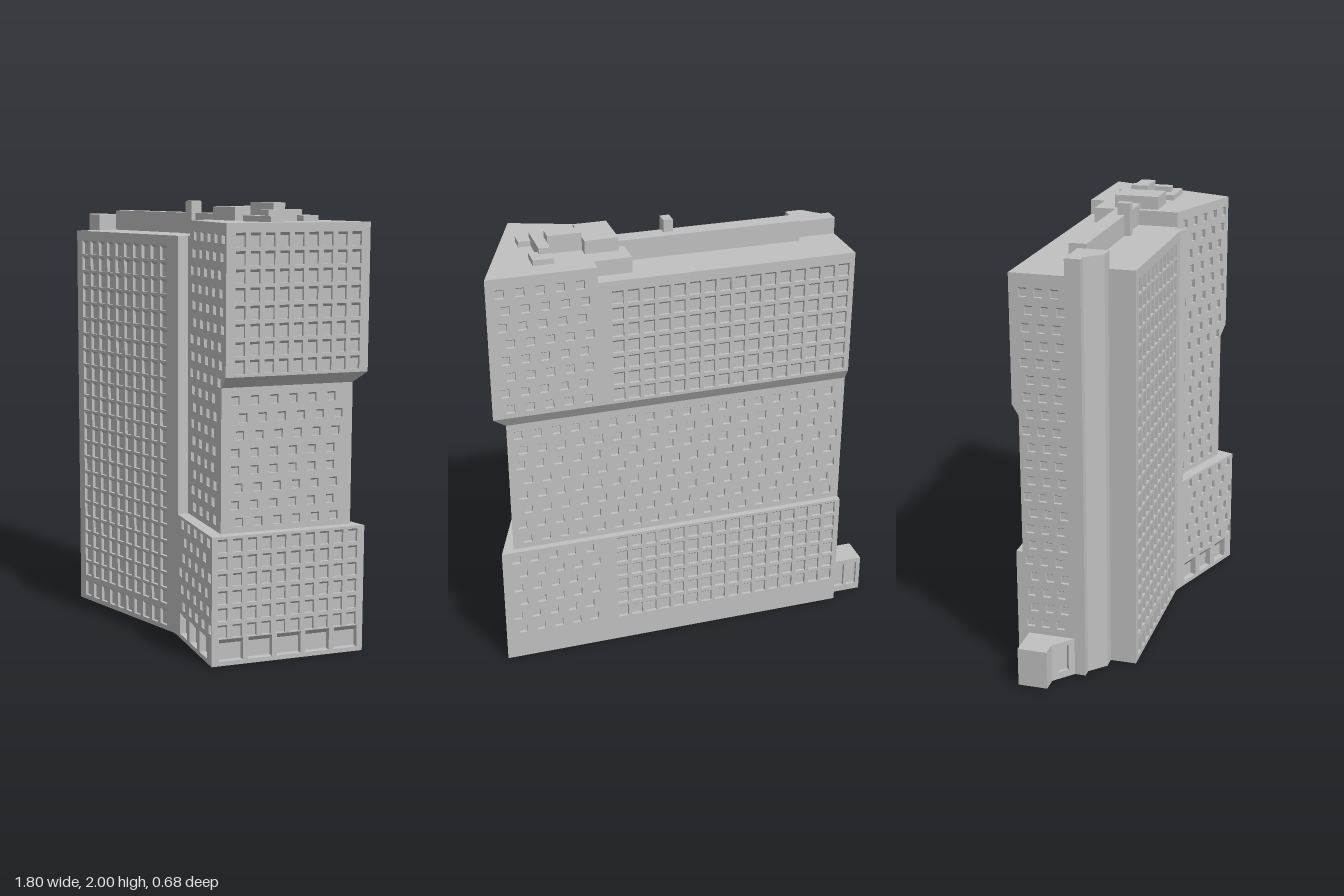
import * as THREE from 'three';
import { mergeGeometries } from 'three/addons/utils/BufferGeometryUtils.js';

const concrete = new THREE.MeshStandardMaterial({ color: 0xc0c0c0, side: THREE.DoubleSide });
concrete.name = 'concrete grey';
const PITCH = 0.0767; // storey height

export function createModel() {
  const model = new THREE.Group();

  function add(name, geometry) {
    const mesh = new THREE.Mesh(geometry, concrete);
    mesh.name = name;
    model.add(mesh);
  }

  function quads(list) {
    const pos = [];
    for (const [a, b, c, d] of list) pos.push(...a, ...b, ...c, ...a, ...c, ...d);
    const g = new THREE.BufferGeometry();
    g.setAttribute('position', new THREE.Float32BufferAttribute(pos, 3));
    return g;
  }

  // Facade from plan point p0 to p1 (left to right from outside) with recessed
  // openings whose heads slope inwards. Openings are {u, v, w, h, s, d}.
  function wall(name, p0, p1, outline, openings = []) {
    const len = Math.hypot(p1[0] - p0[0], p1[1] - p0[1]);
    if (typeof outline[0] === 'number') {
      const [y0, y1] = outline;
      outline = [[0, y0], [len, y0], [len, y1], [0, y1]];
    }
    const shape = new THREE.Shape(outline.map(p => new THREE.Vector2(...p)));
    const faces = [];
    for (const { u, v, w, h, s, d } of openings) {
      const l = u - w / 2, r = u + w / 2, b = v - h / 2, t = v + h / 2, k = t - s;
      shape.holes.push(new THREE.Path([[l, b], [l, t], [r, t], [r, b]].map(p => new THREE.Vector2(...p))));
      faces.push(
        [[l, b, -d], [r, b, -d], [r, k, -d], [l, k, -d]],
        [[l, b, 0], [r, b, 0], [r, b, -d], [l, b, -d]],
        [[l, k, -d], [r, k, -d], [r, t, 0], [l, t, 0]],
        [[l, b, 0], [l, b, -d], [l, k, -d], [l, t, 0]],
        [[r, b, -d], [r, b, 0], [r, t, 0], [r, k, -d]]);
    }
    const front = new THREE.ShapeGeometry(shape).toNonIndexed();
    front.deleteAttribute('uv');
    front.deleteAttribute('normal');
    const g = faces.length ? mergeGeometries([front, quads(faces)]) : front;
    const dir = new THREE.Vector3(p1[0] - p0[0], 0, p1[1] - p0[1]).normalize();
    const up = new THREE.Vector3(0, 1, 0);
    const m = new THREE.Matrix4().makeBasis(dir, up, dir.clone().cross(up));
    g.applyMatrix4(m.setPosition(p0[0], 0, p0[1]));
    g.computeVertexNormals();
    add(name, g);
  }

  const planShape = pts => new THREE.Shape(pts.map(([x, z]) => new THREE.Vector2(x, -z)));
  function slab(name, pts, y) {
    add(name, new THREE.ShapeGeometry(planShape(pts)).rotateX(-Math.PI / 2).translate(0, y, 0));
  }
  function band(name, a, b, ya, yb) { // sloping strip between two plan edges
    const g = quads([[[a[0][0], ya, a[0][1]], [a[1][0], ya, a[1][1]], [b[1][0], yb, b[1][1]], [b[0][0], yb, b[0][1]]]]);
    g.computeVertexNormals();
    add(name, g);
  }
  function box(name, x0, x1, y0, y1, z0, z1) {
    add(name, new THREE.BoxGeometry(x1 - x0, y1 - y0, z1 - z0)
      .translate((x0 + x1) / 2, (y0 + y1) / 2, (z0 + z1) / 2));
  }

  // Rows of windows counted upwards from v0; shifts stagger each row
  function windows(u0, du, cols, v0, rows, w, h, shifts = [0], uMax = 9) {
    const out = [];
    for (let r = 0; r < rows; r++) for (let c = 0; c < cols; c++) {
      const u = u0 + c * du + shifts[r % shifts.length];
      if (u + w / 2 < uMax) out.push({ u, v: v0 + r * PITCH, w, h, s: h > 0.05 ? 0.012 : 0.009, d: 0.015 });
    }
    return out;
  }
  const shops = (u0, du, n, w, s) => Array.from({ length: n },
    (_, i) => ({ u: u0 + i * du, v: 0.07, w, h: 0.1, s, d: 0.03 }));

  // Plan corners
  const mainL = [-0.585, 0.16], mainR = [0.18, 0.16], mainEnd = [0.225, 0.177];
  const baseFront = [0.655, 0.335], backR = [0.9, -0.345], backL = [-0.75, -0.345];
  const wingL = [0.225, 0.12], midFront = [0.63, 0.265], topFront = [0.675, 0.28];
  const midBackR = [0.84, -0.315], midBackL = [-0.75, -0.315];
  const sideL = [-0.75, -0.1];

  // Main front slab
  wall('mainFront', mainL, mainR, [0, 1.85], [
    ...windows(0.068, 0.068, 10, 0.16, 22, 0.048, 0.066),
    ...windows(0.068, 0.068, 10, 0.06, 1, 0.048, 0.075)]);
  wall('mainFrontReturn', mainR, mainEnd, [0.58, 1.85]);
  wall('mainRightReturn', mainEnd, wingL, [0.58, 1.85]);
  wall('mainLeftReturn', [-0.585, 0.04], mainL, [0, 1.85]);

  // Wing front: base, then upper part that steps out over the recess
  wall('wingBaseFront', mainR, baseFront, [0, 0.58], [
    ...windows(0.08, 0.0875, 5, 0.163, 6, 0.036, 0.04, [0.026, 0, -0.02, 0.022, 0.042, 0.006].map(s => s + 0.025), 0.5),
    ...shops(0.123, 0.138, 3, 0.1, 0.034)]);
  wall('wingUpperFront', wingL, topFront,
    [[0, 0.58], [0.43, 0.58], [0.43, 1.22], [0.478, 1.27], [0.478, 1.92], [0.027, 1.92], [0.027, 1.85], [0, 1.85]], [
      ...windows(0.06, 0.0865, 5, 0.626, 8, 0.036, 0.04, [0.032, 0.012, 0.034, 0.004, 0.022, 0.005, 0.03, 0.014], 0.42),
      ...windows(0.05, 0.0865, 5, 1.24, 9, 0.036, 0.04, [0, 0.018, 0.005, 0.04, 0.03, 0.02, 0.005, 0.03, 0.045])]);

  // Right side
  wall('rightBase', baseFront, backR, [0, 0.58], [
    ...windows(0.05, 0.0685, 10, 0.154, 6, 0.044, 0.06),
    ...shops(0.091, 0.137, 5, 0.113, 0.026)]);
  wall('rightMiddle', midFront, midBackR, [0.58, 1.22],
    windows(0.065, 0.09, 6, 0.626, 8, 0.038, 0.04, [0.02, 0, 0.016, 0, 0, 0.022, 0.036, 0]));
  band('rightSoffit', [midFront, midBackR], [topFront, backR], 1.22, 1.27);
  wall('rightTop', topFront, backR, [1.27, 1.92], windows(0.065, 0.067, 9, 1.313, 8, 0.044, 0.06));

  // Back: three tiers with a recessed middle
  const stagger = [0.02, 0, 0.03, 0.01, 0.035, 0.005];
  wall('backBase', backR, backL, [0, 0.58], [
    ...windows(0.06, 0.086, 5, 0.154, 6, 0.038, 0.04, stagger),
    ...windows(0.565, 0.069, 16, 0.154, 6, 0.05, 0.06)]);
  wall('backMiddle', midBackR, midBackL, [0.58, 1.22],
    windows(0.05, 0.086, 18, 0.626, 8, 0.038, 0.04, stagger));
  band('backSoffit', [midBackR, midBackL], [backR, backL], 1.22, 1.27);
  wall('backTop', backR, backL,
    [[0, 1.27], [1.65, 1.27], [1.65, 1.85], [0.48, 1.85], [0.48, 1.92], [0, 1.92]], [
      ...windows(0.06, 0.086, 5, 1.313, 7, 0.038, 0.04, stagger),
      ...windows(0.06, 0.086, 5, 1.85, 1, 0.038, 0.04),
      ...windows(0.565, 0.069, 16, 1.313, 7, 0.05, 0.06)]);

  // Left side
  wall('leftSide', backL, sideL,
    [[0, 0], [0.245, 0], [0.245, 1.85], [0, 1.85], [0, 1.27], [0.03, 1.22], [0.03, 0.58], [0, 0.58]],
    windows(0.06, 0.07, 3, 0.235, 21, 0.036, 0.04, [0, 0.02, 0.008, 0.025]));

  // Faceted stair tower at the left front
  const tower = [sideL, [-0.75, -0.03], [-0.71, -0.03], [-0.65, 0.03], [-0.64, 0.04], [-0.565, 0.04], [-0.565, -0.1]];
  add('stairTower', new THREE.ExtrudeGeometry(planShape(tower), { depth: 1.925, bevelEnabled: false }).rotateX(-Math.PI / 2));

  // Floor, ledge and roofs
  const base = [mainL, mainR, baseFront, backR, backL, [-0.75, -0.05], [-0.585, -0.05]];
  slab('floor', base, 0);
  slab('baseLedge', base, 0.58);
  slab('mainRoof', [mainL, mainR, mainEnd, wingL, [0.25, 0.129], [0.42, -0.275], [0.42, -0.345],
    backL, [-0.75, -0.05], [-0.585, -0.05]], 1.85);
  slab('wingRoof', [[0.25, 0.129], topFront, backR, [0.42, -0.345], [0.42, -0.275], [0.25, -0.275]], 1.92);
  wall('roofStep', [0.25, -0.275], [0.25, 0.129], [1.85, 1.92]);
  wall('roofNotchSide', [0.42, -0.345], [0.42, -0.275], [1.85, 1.92]);
  wall('roofNotchBack', [0.42, -0.275], [0.25, -0.275], [1.85, 1.92]);

  // Rooftop plant
  box('roofPlantRoom', -0.565, 0.29, 1.85, 1.945, -0.14, -0.06);
  box('chimney', 0.015, 0.058, 1.85, 2, -0.095, -0.035);
  box('liftRoom', 0.285, 0.435, 1.92, 1.98, -0.185, 0.025);
  box('ductHigh', 0.435, 0.585, 1.92, 2, -0.135, -0.065);
  box('ductCross', 0.585, 0.635, 1.92, 1.97, -0.19, 0.01);
  box('ventBack', 0.585, 0.675, 1.92, 1.945, -0.25, -0.16);
  box('ventFront', 0.51, 0.69, 1.92, 1.945, -0.025, 0.045);

  // Entrance annex on the left
  const annex = [[-0.75, -0.295], [-0.905, -0.295], [-0.905, -0.16], [-0.835, -0.16], [-0.75, -0.08]];
  const door = u => ({ u, v: 0.095, w: 0.05, h: 0.125, s: 0.008, d: 0.015 });
  const doors = [[door(0.045), door(0.11)], [], [], [door(0.06)]];
  doors.forEach((d, i) => wall('annexWall', annex[i], annex[i + 1], [0, 0.18], d));
  slab('annexRoof', annex, 0.18);
  slab('annexFloor', annex, 0);

  return model;
}
